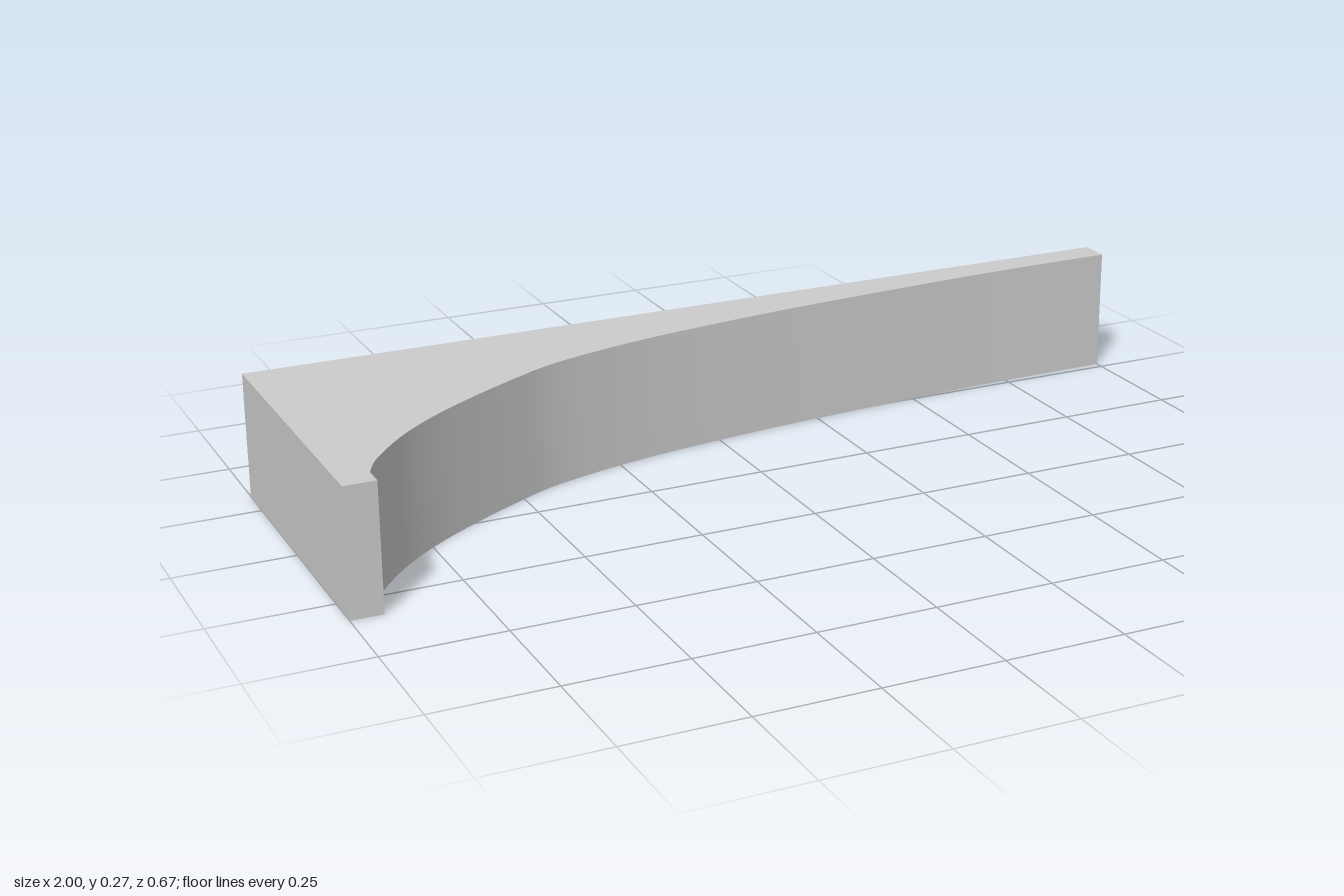
import * as THREE from 'three';
import { toCreasedNormals } from 'three/addons/utils/BufferGeometryUtils.js';

const HEIGHT = 0.267;

export function createModel() {
  const model = new THREE.Group();
  const material = new THREE.MeshStandardMaterial({ color: 0xcccccc });

  // Plan outline in (x, -z): straight back and side, concave sweep at the front
  const sweep = [
    [-0.933, -0.29], [-0.904, -0.235], [-0.834, -0.152], [-0.755, -0.082],
    [-0.663, -0.018], [-0.53, 0.06], [-0.4, 0.122], [-0.2, 0.174], [0, 0.205],
    [0.2, 0.228], [0.58, 0.256], [0.8, 0.265], [1, 0.268],
  ].map(([x, y]) => new THREE.Vector2(x, y));

  const outline = new THREE.Shape();
  outline.moveTo(-1, 0.333);
  outline.lineTo(-1, -0.333);
  outline.lineTo(-0.933, -0.333);
  outline.lineTo(-0.933, -0.29);
  outline.splineThru(sweep.slice(1));
  outline.lineTo(1, 0.333);
  outline.closePath();

  // Extrude the plan upward, smoothing only the curved face
  const solid = new THREE.ExtrudeGeometry(outline, {
    depth: HEIGHT, bevelEnabled: false, curveSegments: 4,
  });
  solid.rotateX(-Math.PI / 2);

  const bracket = new THREE.Mesh(toCreasedNormals(solid, Math.PI / 5), material);
  bracket.name = 'curvedBracket';
  model.add(bracket);
  return model;
}
